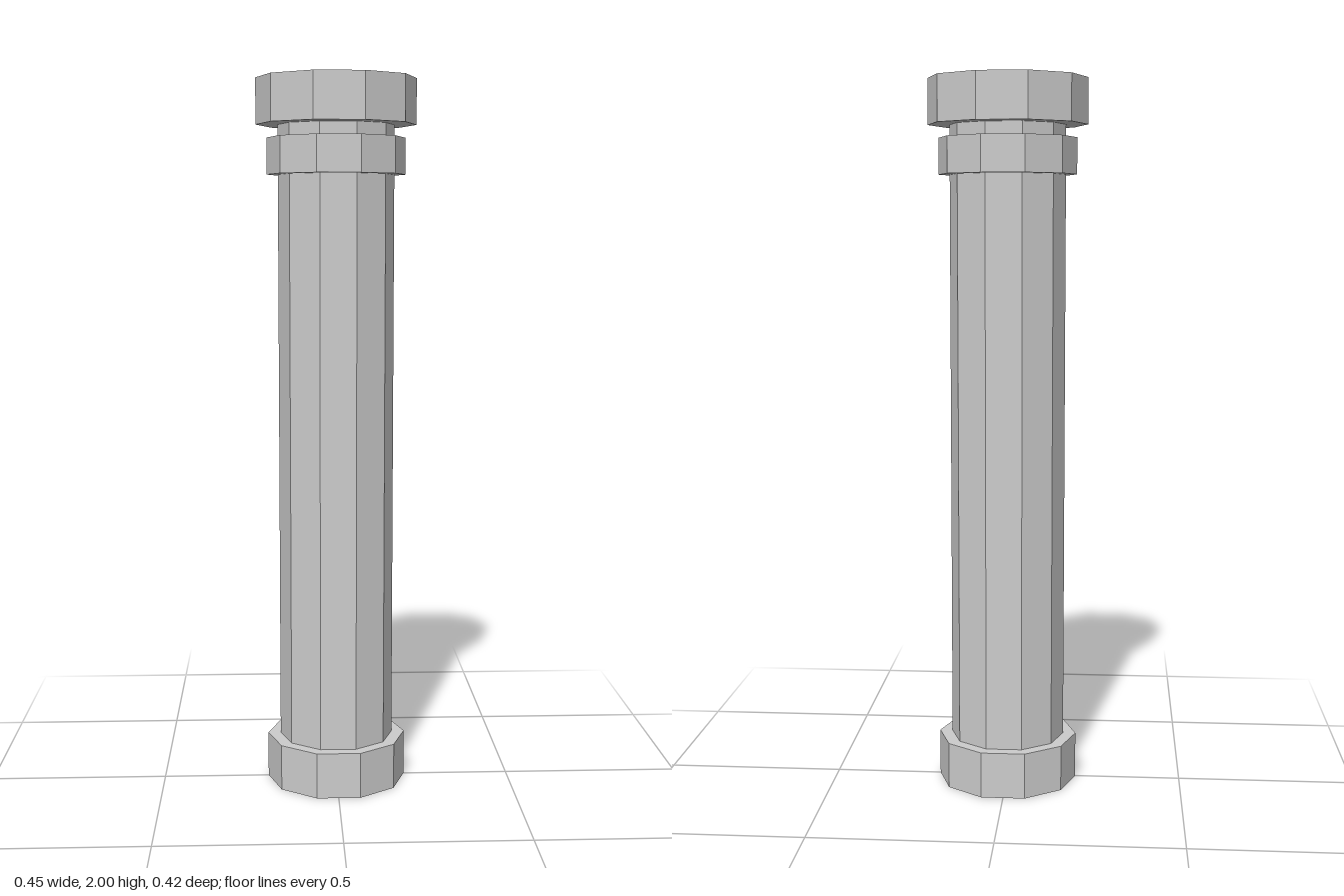
import * as THREE from 'three';

const SIDES = 10;

export function createModel() {
  const column = new THREE.Group();
  column.name = 'column';
  const material = new THREE.MeshStandardMaterial({ color: 0xcccccc, flatShading: true });

  // Ten-sided drum between two heights, with a corner on the +x axis
  function addDrum(name, radius, bottom, top) {
    const height = top - bottom;
    const geometry = new THREE.CylinderGeometry(radius, radius, height, SIDES, 1, false, Math.PI / 2);
    const mesh = new THREE.Mesh(geometry, material);
    mesh.name = name;
    mesh.position.y = bottom + height / 2;
    column.add(mesh);
  }

  addDrum('base', 0.198, 0, 0.13);
  addDrum('shaft', 0.162, 0.13, 1.873);
  addDrum('collar', 0.193, 1.737, 1.838);
  addDrum('capital', 0.223, 1.873, 2);

  return column;
}
